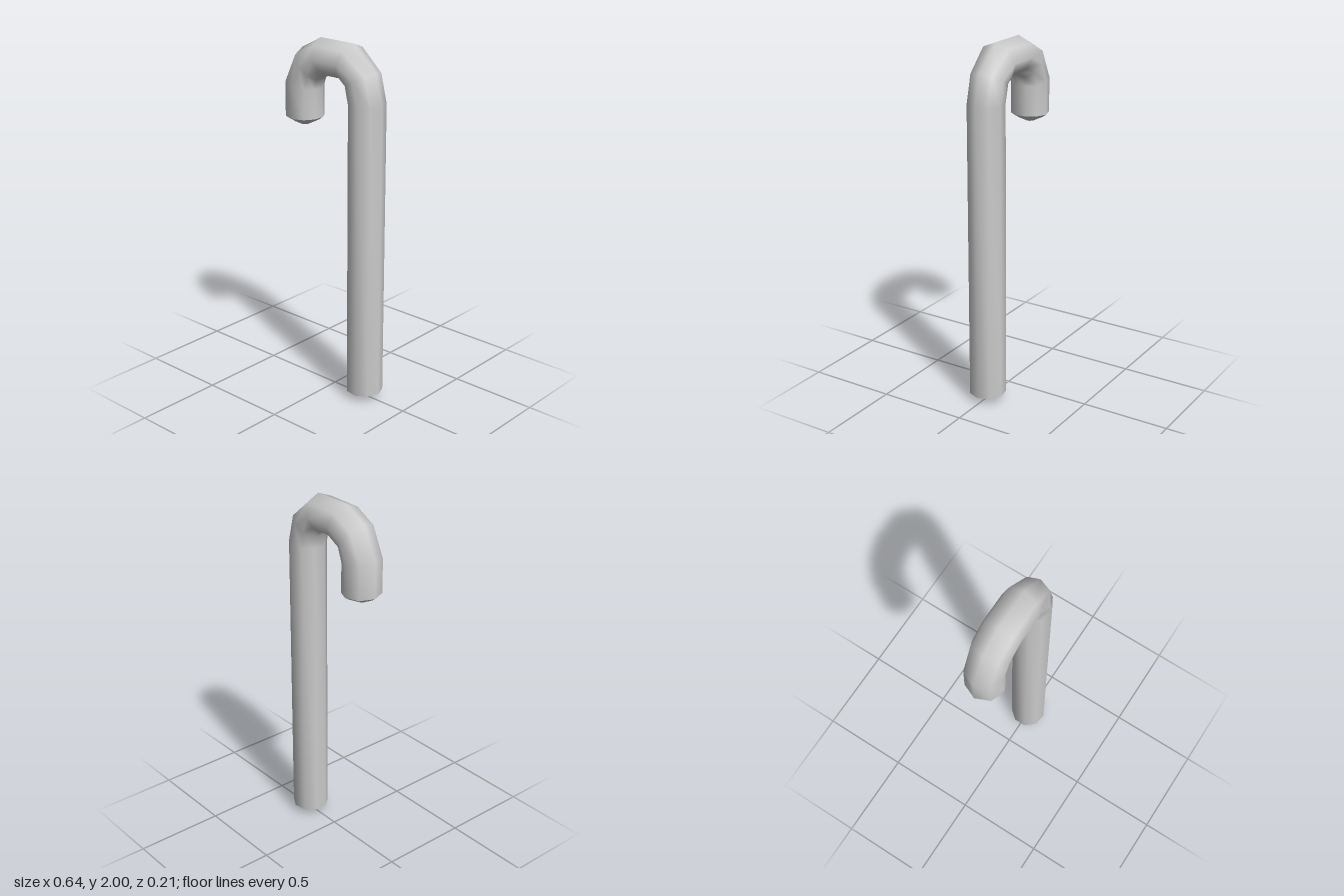
import * as THREE from 'three';

// Half of a nine-sided section, in degrees from the outer side of the bend
const SHAFT = [0, 40, 80, 120, 160];
const HOOK = [0, 48, 94, 130, 163];

// One cross-section spanning an outer and an inner point, with a depth radius
function ring([ox, oy, ix, iy, r, half]) {
  const all = [...half, ...half.slice(1).reverse().map(a => 360 - a)];
  const k = -Math.cos(THREE.MathUtils.degToRad(half[4]));
  const cx = (ix + ox * k) / (1 + k), cy = (iy + oy * k) / (1 + k);
  return all.map(d => {
    const a = THREE.MathUtils.degToRad(d);
    const u = Math.cos(a);
    return [cx + (ox - cx) * u, cy + (oy - cy) * u, r * Math.sin(a)];
  });
}

// Smooth skin through successive cross-sections
function loft(name, sections, material) {
  const rings = sections.map(ring), n = 9, index = [];
  for (let i = 0; i < rings.length - 1; i++) {
    for (let j = 0; j < n; j++) {
      const a = i * n + j, b = i * n + (j + 1) % n;
      index.push(a, b, a + n, b, b + n, a + n);
    }
  }
  const geometry = new THREE.BufferGeometry();
  geometry.setAttribute('position', new THREE.Float32BufferAttribute(rings.flat(2), 3));
  geometry.setIndex(index);
  geometry.computeVertexNormals();
  const mesh = new THREE.Mesh(geometry, material);
  mesh.name = name;
  return mesh;
}

export function createModel() {
  const group = new THREE.Group();
  group.name = 'cane';
  const material = new THREE.MeshStandardMaterial({ color: 0xcccccc });

  // Sections: outer x, outer y, inner x, inner y, depth radius, angles
  const tip = [-0.323, 1.555, -0.12, 1.555, 0.107, HOOK];
  const foot = [0.322, 0.04, 0.121, 0.04, 0.102, SHAFT];

  // Curved handle running into the straight shaft
  group.add(loft('handleAndShaft', [
    tip,
    [-0.323, 1.75, -0.12, 1.72, 0.107, HOOK],
    [-0.235, 1.93, -0.105, 1.775, 0.107, HOOK],
    [-0.10, 2.0, -0.04, 1.81, 0.107, HOOK],
    [0.13, 2.0, 0.07, 1.81, 0.107, HOOK],
    [0.28, 1.865, 0.105, 1.775, 0.103, SHAFT],
    [0.322, 1.70, 0.121, 1.70, 0.102, SHAFT],
    foot,
  ], material));

  // Blunt bevelled cap under the handle
  group.add(loft('handleCap', [
    [-0.22, 1.507, -0.22, 1.507, 0, HOOK],
    [-0.243, 1.51, -0.197, 1.51, 0.024, HOOK],
    [-0.30, 1.54, -0.14, 1.54, 0.085, HOOK],
    tip,
  ], material));

  // Blunt bevelled cap under the shaft
  group.add(loft('footCap', [
    foot,
    [0.30, 0.035, 0.14, 0.035, 0.082, SHAFT],
    [0.243, 0.003, 0.199, 0.003, 0.022, SHAFT],
    [0.22, 0, 0.22, 0, 0, SHAFT],
  ], material));

  return group;
}
